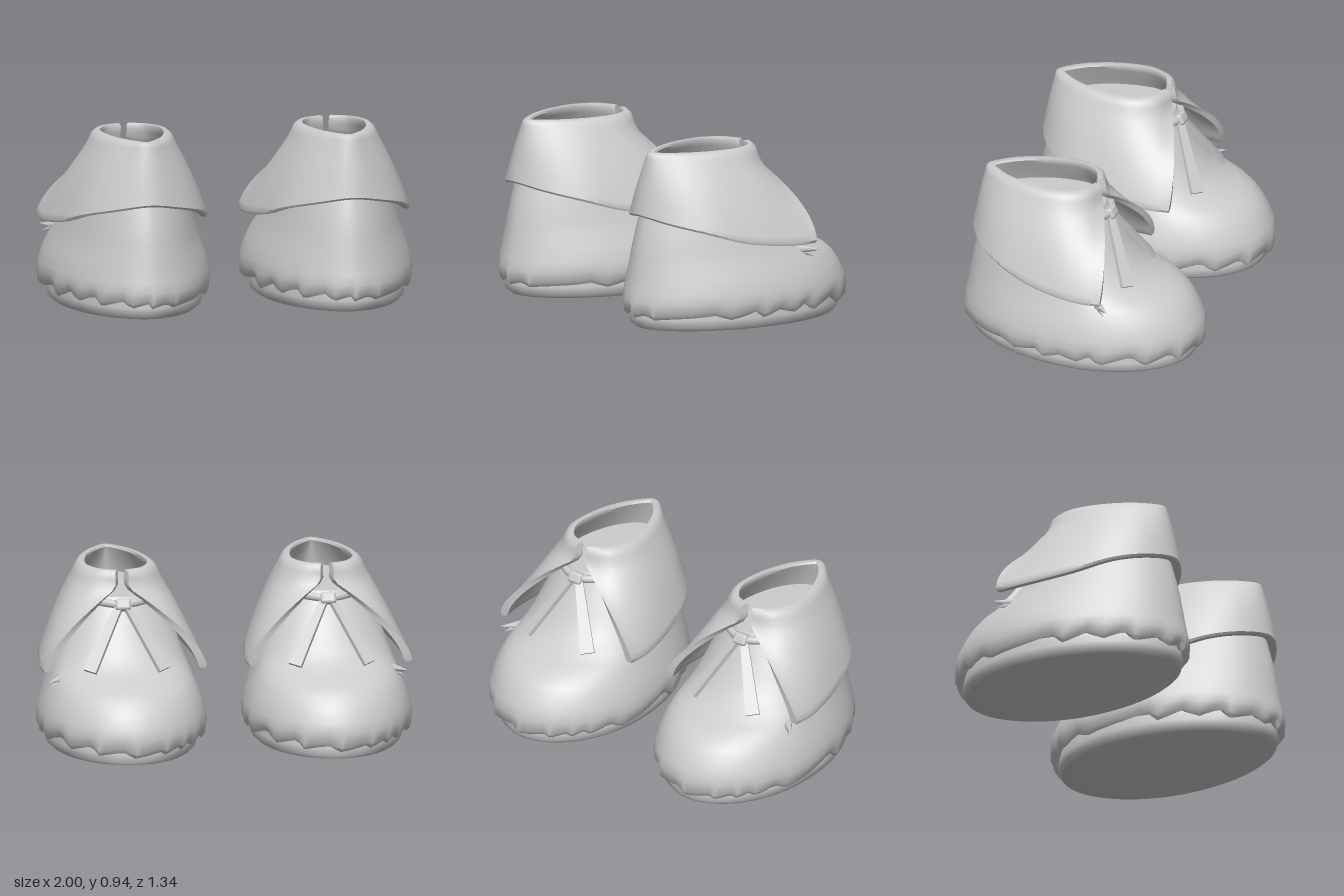
import * as THREE from 'three';
import { toCreasedNormals } from 'three/addons/utils/BufferGeometryUtils.js';
import { RoundedBoxGeometry } from 'three/addons/geometries/RoundedBoxGeometry.js';

const SEG = 96;
const grey = new THREE.MeshStandardMaterial({ color: 0xcccccc });
grey.name = 'grey felt';

// Skins a list of closed rings (arrays of Vector3, even count) and caps both ends.
function loft(rings, crease) {
  const n = rings[0].length, last = (rings.length - 1) * n, idx = [];
  for (let i = 0; i < rings.length - 1; i++) {
    for (let j = 0; j < n; j++) {
      const a = i * n + j, b = i * n + (j + 1) % n;
      idx.push(a, b, b + n, a, b + n, a + n);
    }
  }
  for (let k = 0; k < n / 2 - 1; k++) {
    const a = k, b = k + 1, c = n - 2 - k, d = n - 1 - k;
    idx.push(a, d, c, a, c, b);
    idx.push(last + a, last + b, last + c, last + a, last + c, last + d);
  }
  const geo = new THREE.BufferGeometry().setFromPoints(rings.flat());
  geo.setIndex(idx);
  return toCreasedNormals(geo, crease);
}

// Egg-shaped ring, rounded at the toe (-z) and narrower at the heel (+z).
function eggRing(y, w, zToe, zHeel, zMid, yAt = () => 0, grow = () => 0) {
  return Array.from({ length: SEG }, (_, j) => {
    const t = (j / SEG) * Math.PI * 2, c = Math.cos(t), s = Math.sin(t);
    const x = Math.sign(c) * Math.pow(Math.abs(c), s < 0 ? 1.1 : 1) * w;
    const z = zMid - s * (s > 0 ? zMid - zToe : zHeel - zMid);
    const k = 1 + grow(t);
    return new THREE.Vector3(x * k, y + yAt(t), z * k);
  });
}

// Uneven sawtooth for the torn hem, 0 at the tips and up to 1 in the notches
function tooth(t) {
  const f = (t * 17) / (Math.PI * 2) + 0.35 * Math.sin(3 * t) + 0.2 * Math.sin(5 * t + 1);
  const p = f - Math.floor(f);
  return (p < 0.75 ? p / 0.75 : (1 - p) / 0.25) * (0.7 + 0.3 * Math.sin(2 * t + 0.7));
}

function soleGeometry() {
  return loft([
    eggRing(0, 0.375, -0.61, 0.6, -0.06),
    eggRing(0.018, 0.395, -0.622, 0.622, -0.06),
    eggRing(0.06, 0.4, -0.625, 0.632, -0.06),
    eggRing(0.12, 0.39, -0.61, 0.62, -0.06),
  ], 0.8);
}

function bodyGeometry() {
  // the hem dips a little at the toe
  const hem = (t) => tooth(t) * 0.055 - 0.018 * Math.max(0, Math.sin(t)) ** 6;
  const ripple = (t) => (0.5 - tooth(t)) * 0.02;
  // y, half width, toe z, heel z, z of the widest point
  const levels = [
    [0.2, 0.443, -0.652, 0.658, -0.1],
    [0.27, 0.422, -0.615, 0.645, -0.1],
    [0.32, 0.403, -0.58, 0.637, -0.09],
    [0.36, 0.386, -0.53, 0.63, -0.08],
    [0.395, 0.372, -0.45, 0.624, -0.06],
    [0.43, 0.358, -0.36, 0.618, -0.04],
    [0.5, 0.333, -0.285, 0.602, 0],
    [0.6, 0.3, -0.22, 0.575, 0.04],
    [0.7, 0.262, -0.168, 0.54, 0.07],
    [0.8, 0.212, -0.11, 0.5, 0.1],
  ];
  return loft([
    eggRing(0.12, 0.385, -0.6, 0.6, -0.1),
    eggRing(0.06, 0.425, -0.64, 0.645, -0.1, hem),
    eggRing(0.082, 0.44, -0.655, 0.66, -0.1, hem, ripple),
    eggRing(0.145, 0.447, -0.663, 0.668, -0.1, (t) => hem(t) * 0.3, (t) => ripple(t) * 0.5),
    ...levels.map((l) => eggRing(...l)),
  ], 0.75);
}

// Thick turned-down collar, slit at the front
function cuffGeometry() {
  const mirror = (half) => new THREE.CatmullRomCurve3([
    ...half.map((p) => new THREE.Vector3(...p)),
    ...half.slice(0, -1).reverse().map(([x, y, z]) => new THREE.Vector3(-x, y, z)),
  ]);
  const top = mirror([[0.035, 0.94, -0.1], [0.13, 0.94, -0.055], [0.195, 0.94, 0.06],
    [0.195, 0.94, 0.2], [0.155, 0.94, 0.35], [0.09, 0.94, 0.47], [0, 0.94, 0.55]]);
  const bottom = mirror([[0.44, 0.43, -0.235], [0.45, 0.43, -0.13], [0.44, 0.44, 0],
    [0.4, 0.47, 0.2], [0.32, 0.53, 0.4], [0.18, 0.575, 0.55], [0, 0.605, 0.62]]);
  // front edge: straight down the slit, then spreading outward
  const edge = (t) => (t < 0.18 ? 0 : 1 - ((1 - t) / 0.82) ** 1.6);
  // [fraction of the way down, inset], outside upward, over the rim, inside downward
  const wall = Array.from({ length: 17 }, (_, k) => 0.97 - k * 0.05875);
  const profile = [
    [1, 0.01], ...wall.map((t) => [t, 0]), [0, 0.012],
    [0, 0.036], ...wall.slice().reverse().map((t) => [t, 0.046]), [1, 0.036],
  ];
  const sections = [], COLS = 48;
  for (let i = 0; i <= COLS; i++) {
    const u = i / COLS, front = Math.abs(2 * u - 1) ** 4;
    const a = top.getPoint(u), b = bottom.getPoint(u);
    const ta = top.getTangent(u), tb = bottom.getTangent(u);
    sections.push(profile.map(([t, inset]) => {
      const h = THREE.MathUtils.lerp(t, edge(t), front), bow = Math.sin(Math.PI * t);
      const along = ta.clone().lerp(tb, h);
      const out = new THREE.Vector3(along.z, 0, -along.x).normalize();
      const p = new THREE.Vector3(
        THREE.MathUtils.lerp(a.x, b.x, h),
        THREE.MathUtils.lerp(a.y, b.y, t),
        THREE.MathUtils.lerp(a.z, b.z, h) - 0.03 * front * bow);
      const side = 0.015 * Math.abs(out.x) * bow * (1 - front);
      return p.addScaledVector(out, side - inset);
    }));
  }
  return loft(sections, 0.75);
}

function mesh(name, geo, parent) {
  const m = new THREE.Mesh(geo, grey);
  m.name = name;
  parent.add(m);
  return m;
}

// Flat strip widening from a to b, with its face turned toward `face`
function ribbon(parent, a, b, face) {
  const dir = b.clone().sub(a), len = dir.length();
  dir.normalize();
  const side = new THREE.Vector3().crossVectors(dir, face).normalize();
  const normal = new THREE.Vector3().crossVectors(side, dir);
  const geo = new THREE.BoxGeometry(0.075, len, 0.022).toNonIndexed();
  const pos = geo.attributes.position;
  for (let i = 0; i < pos.count; i++) if (pos.getY(i) < 0) pos.setX(i, pos.getX(i) * 0.55);
  geo.computeVertexNormals();
  const m = mesh('ribbonTail', geo, parent);
  m.quaternion.setFromRotationMatrix(new THREE.Matrix4().makeBasis(side, dir, normal));
  m.position.copy(a).lerp(b, 0.5);
}

function createBoot(side, parts) {
  const boot = new THREE.Group();
  boot.name = side > 0 ? 'leftBoot' : 'rightBoot';
  mesh('sole', parts.sole, boot);
  mesh('footBody', parts.body, boot);
  mesh('cuff', parts.cuff, boot);

  // Tied lace at the front
  const knot = mesh('knot', new RoundedBoxGeometry(0.085, 0.065, 0.06, 2, 0.018), boot);
  knot.position.set(0, 0.765, -0.145);
  knot.rotation.x = 0.45;
  const lace = new THREE.CatmullRomCurve3([[-0.13, 0.775, -0.09], [-0.06, 0.77, -0.13],
    [0, 0.765, -0.145], [0.06, 0.77, -0.13], [0.13, 0.775, -0.09]].map((p) => new THREE.Vector3(...p)));
  mesh('lace', new THREE.TubeGeometry(lace, 16, 0.022, 8), boot);
  for (const s of [-1, 1]) {
    ribbon(boot, new THREE.Vector3(s * 0.025, 0.75, -0.155),
      new THREE.Vector3(s * 0.2, 0.445, -0.312), new THREE.Vector3(s * 0.45, 0.45, -0.8));
  }

  // Small torn tuft on the outer side
  for (const [tip, r] of [[[0.415, 0.385, -0.27], 0.03], [[0.4, 0.35, -0.25], 0.022]]) {
    const from = new THREE.Vector3(side * 0.33, 0.385, -0.18);
    const dir = new THREE.Vector3(side * tip[0], tip[1], tip[2]).sub(from);
    const m = mesh('tuft', new THREE.ConeGeometry(r, dir.length(), 6), boot);
    m.position.copy(from).addScaledVector(dir, 0.5);
    m.quaternion.setFromUnitVectors(new THREE.Vector3(0, 1, 0), dir.normalize());
  }
  boot.position.x = side * 0.55;
  return boot;
}

export function createModel() {
  const model = new THREE.Group();
  model.name = 'bootPair';
  const parts = { sole: soleGeometry(), body: bodyGeometry(), cuff: cuffGeometry() };
  for (const side of [-1, 1]) model.add(createBoot(side, parts));
  return model;
}
